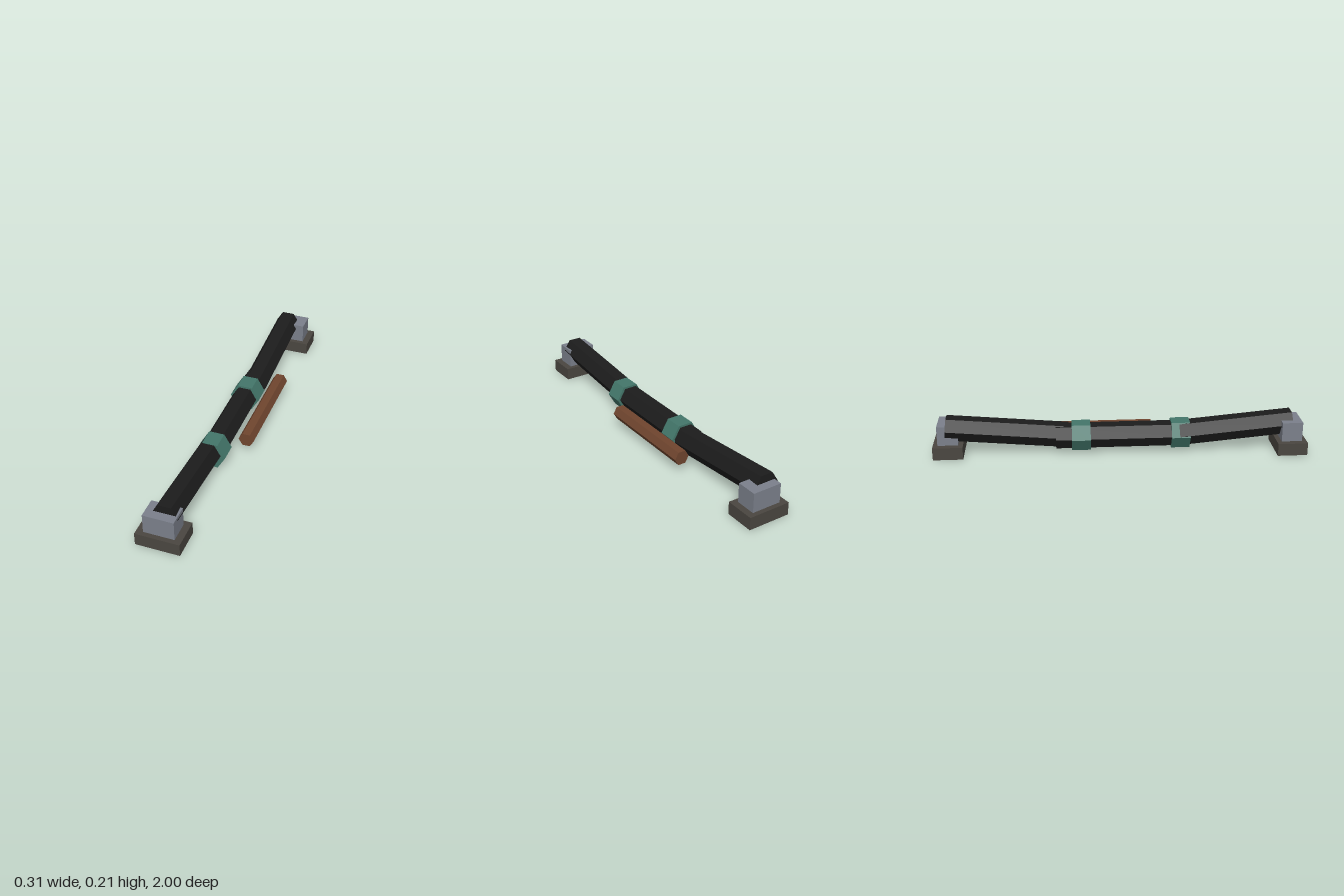
import * as THREE from 'three';

const mat = (color) => new THREE.MeshStandardMaterial({ color, flatShading: true });

export function createModel() {
  const group = new THREE.Group();
  const black = mat(0x1c1c1c), teal = mat(0x43766a), brown = mat(0x6f452e);
  const steel = mat(0x7b808b), stone = mat(0x4a4640);

  const add = (name, geometry, material, x, y, z) => {
    const mesh = new THREE.Mesh(geometry, material);
    mesh.name = name;
    mesh.position.set(x, y, z);
    group.add(mesh);
    return mesh;
  };

  // Six-sided bar between two (y, z) points, with a flat side on top
  const hexBar = (name, material, radius, x, [y0, z0], [y1, z1]) => {
    const length = Math.hypot(y1 - y0, z1 - z0);
    const geometry = new THREE.CylinderGeometry(radius, radius, length, 6)
      .rotateY(Math.PI / 2).rotateX(Math.PI / 2);
    const mesh = add(name, geometry, material, x, (y0 + y1) / 2, (z0 + z1) / 2);
    mesh.rotation.x = -Math.atan2(y1 - y0, z1 - z0);
  };

  // Sagging pipe in three overlapping lengths
  hexBar('middlePipe', black, 0.069, -0.018, [0.095, -0.345], [0.095, 0.345]);
  hexBar('frontPipe', black, 0.069, -0.027, [0.095, 0.28], [0.153, 0.93]);
  hexBar('backPipe', black, 0.069, -0.004, [0.153, -0.93], [0.095, -0.28]);

  // Collars around the joints
  for (const [name, z] of [['frontCollar', 0.325], ['backCollar', -0.21]]) {
    hexBar(name, teal, 0.082, -0.016, [0.095, z - 0.05], [0.095, z + 0.05]);
  }

  // Thin loose pipe alongside
  hexBar('sidePipe', brown, 0.0415, 0.111, [0.081, -0.41], [0.081, 0.18]);

  // Footings: a wide base with a block set through it
  for (const [side, x, z] of [['front', -0.04, 0.92], ['back', 0.03, -0.92]]) {
    add(side + 'Base', new THREE.BoxGeometry(0.23, 0.068, 0.16), stone, x, 0.034, z);
    add(side + 'Block', new THREE.BoxGeometry(0.16, 0.174, 0.11), steel, x, 0.086, z);
  }
  return group;
}
